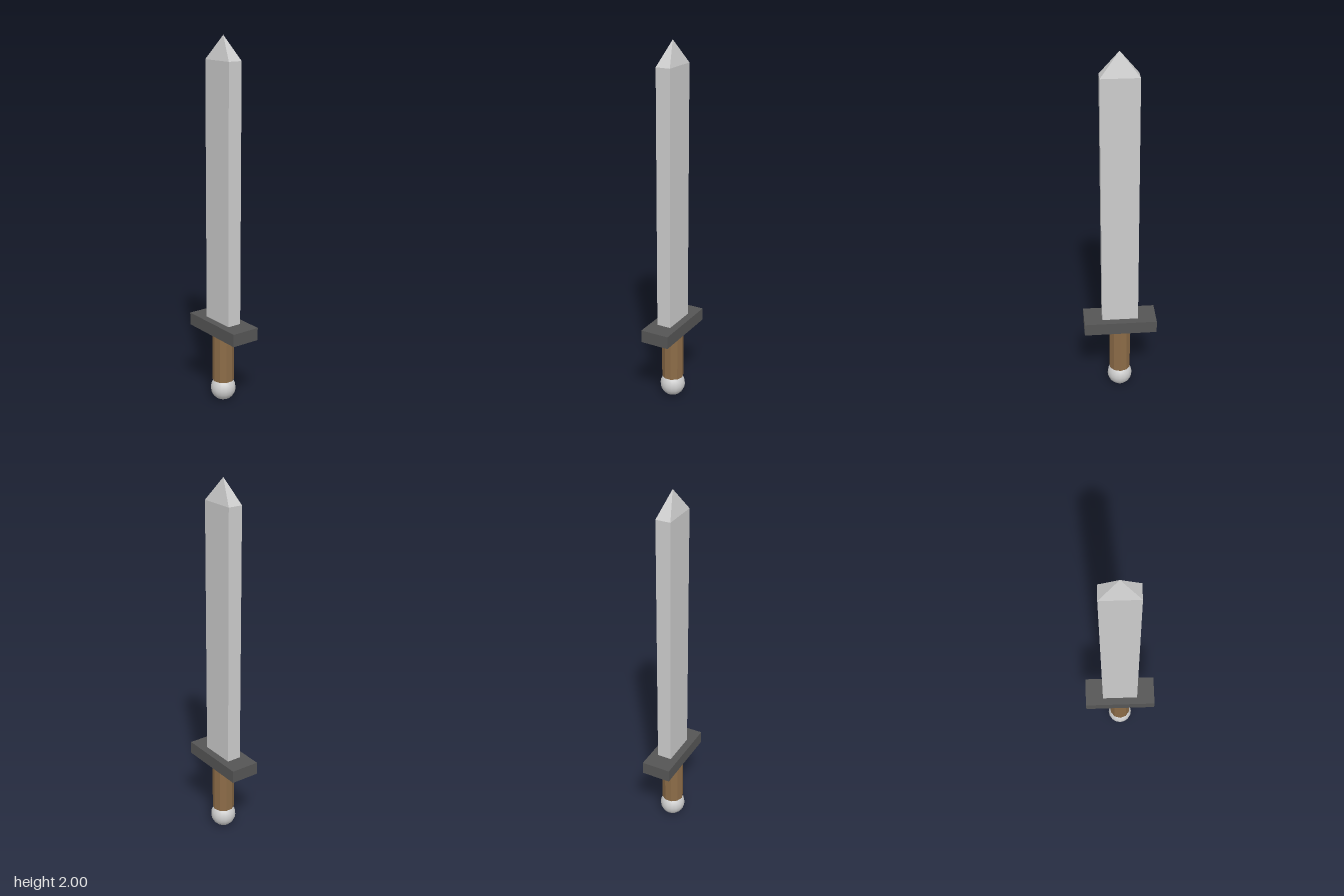
import * as THREE from 'three';

const material = (color, flatShading = true) =>
  new THREE.MeshStandardMaterial({ color, flatShading });

function addPart(group, name, geometry, mat, y) {
  const mesh = new THREE.Mesh(geometry, mat);
  mesh.name = name;
  mesh.position.y = y;
  group.add(mesh);
  return mesh;
}

export function createModel() {
  const sword = new THREE.Group();
  sword.name = 'sword';
  const steel = material(0xcccccc);
  const darkIron = material(0x555555);
  const wood = material(0x8b6b47);

  // Blade: rectangular bar, broad along z
  const bladeWidth = 0.08, bladeDepth = 0.2;
  const bladeBase = 0.47, bladeTop = 1.875, tipTop = 2;
  const bladeHeight = bladeTop - bladeBase;
  addPart(sword, 'blade', new THREE.BoxGeometry(bladeWidth, bladeHeight, bladeDepth),
    steel, bladeBase + bladeHeight / 2);

  // Tip: four-sided pyramid fitted to the blade's section
  const tipHeight = tipTop - bladeTop;
  const tip = new THREE.ConeGeometry(Math.SQRT1_2, tipHeight, 4, 1, true);
  tip.rotateY(Math.PI / 4);
  tip.scale(bladeWidth, 1, bladeDepth);
  addPart(sword, 'bladeTip', tip, steel, bladeTop + tipHeight / 2);

  // Crossguard
  addPart(sword, 'crossguard', new THREE.BoxGeometry(0.162, 0.07, 0.402), darkIron, 0.435);

  // Grip: ten-sided handle with corners on the x axis
  const grip = new THREE.CylinderGeometry(0.06, 0.06, 0.28, 10);
  grip.rotateY(Math.PI / 2);
  addPart(sword, 'grip', grip, wood, 0.26);

  // Pommel: ball under the grip
  addPart(sword, 'pommel', new THREE.SphereGeometry(0.07, 16, 10),
    material(0xcccccc, false), 0.07);

  return sword;
}
